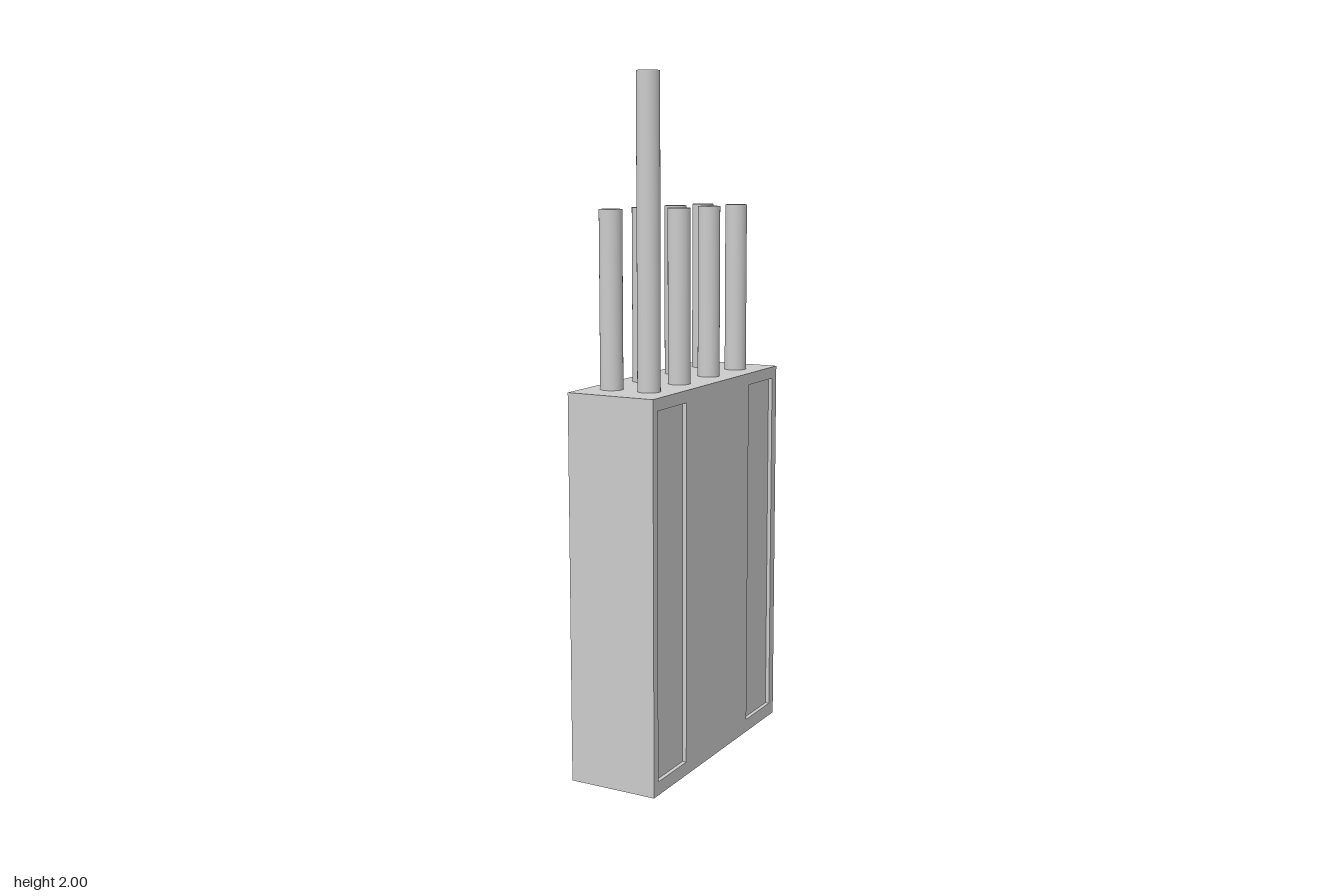
import * as THREE from 'three';

const HALF_W = 0.135, HEIGHT = 1.13, FRONT = 0.4, BACK = -0.38;
const SIDE_RECESS = 0.012, BACK_RECESS = 0.013, SLOT_DEPTH = 0.05;

const material = new THREE.MeshStandardMaterial({ color: 0xcccccc, flatShading: true });
const smooth = new THREE.MeshStandardMaterial({ color: 0xcccccc });

function addMesh(parent, name, geometry, mat = material) {
  const mesh = new THREE.Mesh(geometry, mat);
  mesh.name = name;
  parent.add(mesh);
  return mesh;
}

// Rectangle outline given as [left, bottom, right, top]
function trace(path, [l, b, r, t]) {
  path.moveTo(l, b);
  path.lineTo(r, b);
  path.lineTo(r, t);
  path.lineTo(l, t);
  path.closePath();
  return path;
}

// Flat plate with rectangular openings
function plate(outline, holes, depth) {
  const shape = trace(new THREE.Shape(), outline);
  shape.holes = holes.map((h) => trace(new THREE.Path(), h));
  return new THREE.ExtrudeGeometry(shape, { depth, bevelEnabled: false });
}

export function createModel() {
  const model = new THREE.Group();
  model.name = 'pinModule';

  // Solid core, behind the recessed panels
  const inner = HALF_W - SIDE_RECESS;
  const coreBack = BACK + BACK_RECESS + SLOT_DEPTH;
  addMesh(model, 'bodyCore', new THREE.BoxGeometry(2 * inner, HEIGHT, FRONT - coreBack)
    .translate(0, HEIGHT / 2, (FRONT + coreBack) / 2));

  // Side walls, each with two tall recesses
  const sideHoles = [[0.21, 0.04, 0.375, 1.095], [-0.35, 0.04, -0.185, 1.095]];
  for (const side of [1, -1]) {
    const wall = plate([BACK, 0, FRONT, HEIGHT], sideHoles, SIDE_RECESS).rotateY(-Math.PI / 2);
    addMesh(model, side > 0 ? 'leftWall' : 'rightWall',
      wall.translate(side > 0 ? HALF_W : -inner, 0, 0));
  }

  // Back panel with two slots, set into a shallow frame
  const slots = [1, -1].map((s) => [s * 0.091 - 0.024, 0.405, s * 0.091 + 0.024, 0.625]);
  const backOutline = [-inner, 0, inner, HEIGHT];
  addMesh(model, 'backPanel', plate(backOutline, slots, SLOT_DEPTH)
    .translate(0, 0, BACK + BACK_RECESS));
  addMesh(model, 'backFrame', plate(backOutline, [[-0.121, 0.04, 0.121, 1.095]], BACK_RECESS)
    .translate(0, 0, BACK));

  // Latch: a box tapered towards its outer face
  const depth = 0.033;
  const latch = new THREE.BoxGeometry(0.116, 0.21, depth);
  const pos = latch.attributes.position;
  for (let i = 0; i < pos.count; i++) {
    if (pos.getZ(i) < 0) pos.setXY(i, pos.getX(i) * 0.78, pos.getY(i) * 0.5);
  }
  latch.computeVertexNormals();
  addMesh(model, 'latch', latch).position.set(-0.005, 0.78, -0.4 + depth / 2);

  // Two rows of pins, one of them longer
  const rows = [
    { x: 0.052, zs: [-0.26, -0.083, 0.1, 0.275] },
    { x: -0.061, zs: [-0.26, -0.085, 0.107, 0.287] },
  ];
  const pins = new THREE.Group();
  pins.name = 'pins';
  model.add(pins);
  rows.forEach(({ x, zs }, row) => zs.forEach((z, i) => {
    const long = row === 0 && i === 3;
    const length = (long ? 2 : 1.63) - HEIGHT;
    addMesh(pins, long ? 'longPin' : 'pin',
      new THREE.CylinderGeometry(0.0325, 0.0325, length, 48), smooth)
      .position.set(x, HEIGHT + length / 2, z);
  }));

  return model;
}
